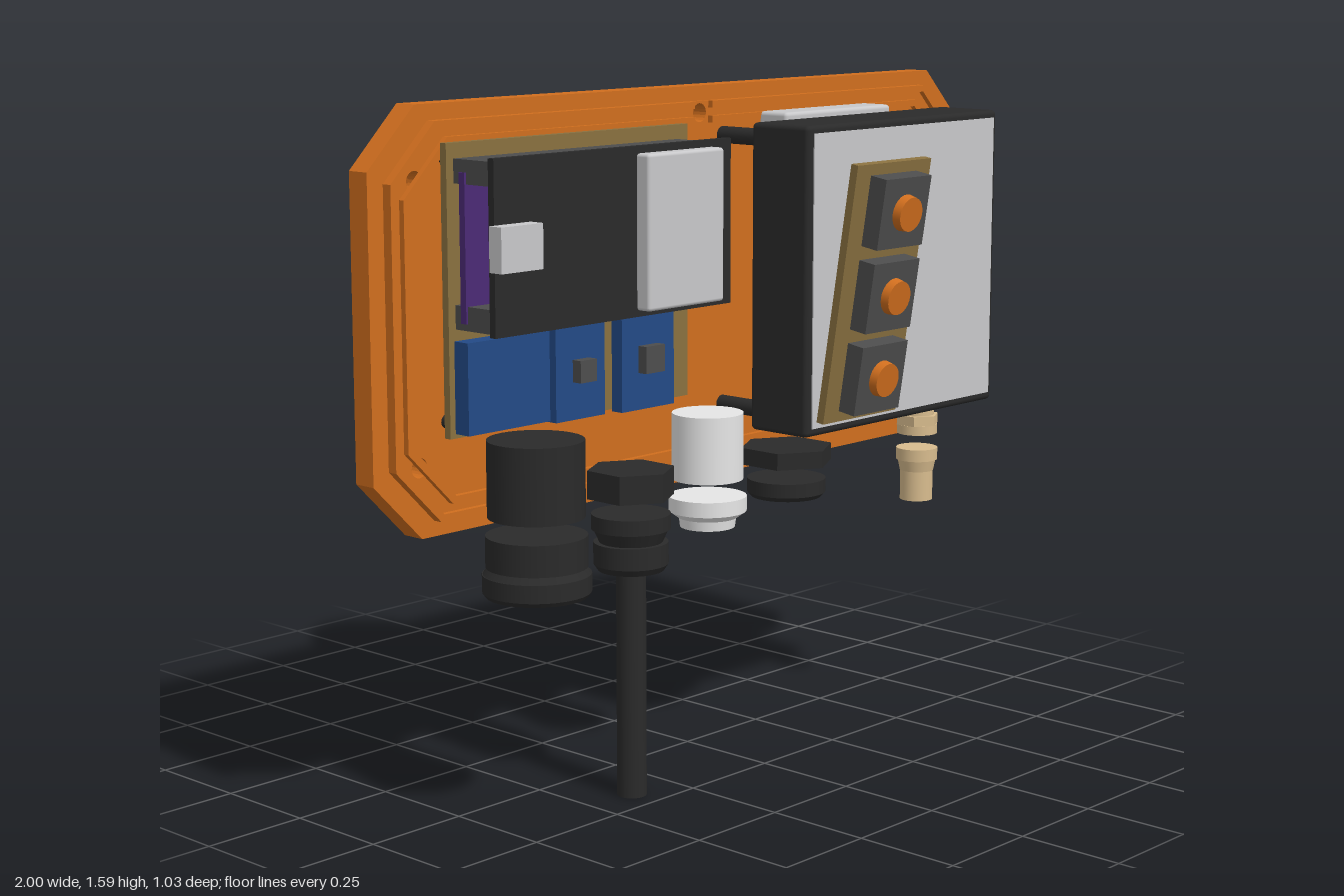
import * as THREE from 'three';
import { RoundedBoxGeometry } from 'three/addons/geometries/RoundedBoxGeometry.js';

const mat = (name, color) => {
  const m = new THREE.MeshStandardMaterial({ color });
  m.name = name;
  return m;
};

export function createModel() {
  const orange = mat('orange', 0xd06e1e), black = mat('black', 0x2a2a2a), grey = mat('dark grey', 0x4d4d4d);
  const silver = mat('silver', 0xc8c8ca), white = mat('white', 0xe6e6e6), brass = mat('brass', 0xd8bc8e);
  const olive = mat('olive board', 0x8a7140), blue = mat('blue', 0x234a86), purple = mat('purple', 0x4b2a75);

  const model = new THREE.Group();
  const CY = 1.125; // height of the panel centre
  const CZ = 0.175; // depth of the connector row

  const add = (name, geo, material, parent = model) => {
    const mesh = new THREE.Mesh(geo, material);
    mesh.name = name;
    parent.add(mesh);
    return mesh;
  };
  // Box given by its limits on each axis
  const box = (name, m, x0, x1, y0, y1, z0, z1, round = 0, parent = model) => {
    const s = [x1 - x0, y1 - y0, z1 - z0];
    const geo = round ? new RoundedBoxGeometry(...s, 2, round) : new THREE.BoxGeometry(...s);
    add(name, geo, m, parent).position.set((x0 + x1) / 2, (y0 + y1) / 2, (z0 + z1) / 2);
  };
  // Cylinder along z
  const rod = (name, m, x, y, r, z0, z1, sides = 24) => {
    const geo = new THREE.CylinderGeometry(r, r, z1 - z0, sides).rotateX(Math.PI / 2);
    const mesh = add(name, geo, m);
    mesh.position.set(x, y, (z0 + z1) / 2);
    return mesh;
  };
  // Chamfered rectangle with round holes, extruded along z
  const octagon = (name, w, h, c, holes, r, z0, z1) => {
    const shape = new THREE.Shape([[w, h - c], [w - c, h], [c - w, h], [-w, h - c],
      [-w, c - h], [c - w, -h], [w - c, -h], [w, c - h]].map(p => new THREE.Vector2(...p)));
    for (const [x, y] of holes) {
      const hole = new THREE.Path();
      hole.absarc(x, y, r, 0, Math.PI * 2, true);
      shape.holes.push(hole);
    }
    const geo = new THREE.ExtrudeGeometry(shape, { depth: z1 - z0, bevelEnabled: false, curveSegments: 10 });
    add(name, geo, orange).position.set(0, CY, z0);
  };

  // Panel: countersunk back layer, front layer, raised floor
  const screws = [[0, 0.403], [0, -0.392]];
  for (const x of [-0.88, 0.88]) for (const y of [-0.306, 0.306]) screws.push([x, y]);
  octagon('panelBack', 1, 0.465, 0.133, screws, 0.032, -0.028, -0.005);
  octagon('panelFront', 1, 0.465, 0.133, screws, 0.022, -0.005, 0.028);
  octagon('panelFloor', 0.957, 0.43, 0.125, screws, 0.022, 0.028, 0.038);

  // Sealing ridges, open around the middle screws
  for (const [w, h, t] of [[0.957, 0.43, 0.016], [0.922, 0.395, 0.016]]) {
    for (const s of [-1, 1]) {
      const path = (a, b, c) => [[0.03, b], [a - c, b], [a, b - c], [a, c - b], [a - c, -b], [0.03, -b]];
      const pts = [...path(w, h, 0.125), ...path(w - t, h - t, 0.118).reverse()];
      const shape = new THREE.Shape(pts.map(([x, y]) => new THREE.Vector2(s * x, y)));
      const geo = new THREE.ExtrudeGeometry(shape, { depth: 0.014, bevelEnabled: false });
      add('sealRidge', geo, orange).position.set(0, CY, 0.038);
    }
  }

  // Ball mount on the back
  const mountHoles = [[-0.27, -0.21], [-0.27, 0.21], [0.27, -0.21], [0.27, 0.21]];
  octagon('mountPad', 0.345, 0.295, 0.11, mountHoles, 0.02, -0.073, -0.028);
  rod('mountDisc', grey, 0, CY, 1, -0.107, -0.073, 64).scale.set(0.36, 0.293, 1);
  rod('ballNeck', grey, 0, CY, 0.092, -0.24, -0.107, 32);
  add('ball', new THREE.SphereGeometry(0.167, 40, 28), black).position.set(0, CY, -0.347);

  // Main circuit board and its stack
  box('mainBoard', olive, -0.83, -0.09, 0.88, 1.51, 0.065, 0.083);
  for (const x of [-0.8, -0.11]) for (const y of [0.91, 1.48]) rod('boardStandoff', black, x, y, 0.016, 0.038, 0.065, 12);
  box('purpleBoard', purple, -0.815, -0.1, 1.13, 1.45, 0.105, 0.122);
  for (const y of [1.115, 1.425]) box('pinHeader', grey, -0.81, -0.125, y, y + 0.052, 0.083, 0.2);
  box('controllerBoard', black, -0.82, -0.09, 1.11, 1.485, 0.2, 0.217);
  box('shieldCan', silver, -0.4, -0.155, 1.125, 1.47, 0.217, 0.258, 0.008);
  box('plugSocket', silver, -0.835, -0.715, 1.25, 1.347, 0.217, 0.254);
  box('relayModule', blue, -0.815, -0.575, 0.89, 1.09, 0.083, 0.125);
  box('sensorBoard', blue, -0.547, -0.395, 0.88, 1.1, 0.083, 0.115);
  box('sensorBoard', blue, -0.34, -0.17, 0.875, 1.11, 0.083, 0.115);
  box('chip', grey, -0.495, -0.445, 0.965, 1.015, 0.115, 0.14);
  box('chip', grey, -0.287, -0.225, 0.96, 1.022, 0.115, 0.14);

  // Display with standoffs and the silver unit behind it
  box('displayCase', black, 0.04, 0.755, 0.79, 1.51, 0.163, 0.335, 0.012);
  box('displayFace', silver, 0.06, 0.738, 0.81, 1.492, 0.332, 0.338);
  box('rearUnit', silver, 0.2, 0.592, 0.87, 1.522, 0.045, 0.132, 0.01);
  for (const x of [0.08, 0.717]) for (const y of [0.833, 1.473]) rod('displayStandoff', black, x, y, 0.02, 0.038, 0.165, 16);

  // Tilted button strip
  const strip = new THREE.Group();
  strip.name = 'buttonStrip';
  strip.position.set(0.198, 1.127, 0.404);
  strip.rotation.x = 0.157;
  model.add(strip);
  box('buttonBoard', olive, -0.133, 0.133, -0.305, 0.305, -0.01, 0.01, 0, strip);
  for (const y of [-0.197, 0, 0.197]) {
    box('buttonBase', grey, -0.082, 0.082, y - 0.082, y + 0.082, 0.01, 0.056, 0, strip);
    const cap = add('buttonCap', new THREE.CylinderGeometry(0.04, 0.043, 0.02, 24).rotateX(Math.PI / 2), orange, strip);
    cap.position.set(0, y, 0.066);
  }

  // Connectors: stacks of round or hexagonal sections [y0, y1, bottom r, top r, sides]
  const connector = (name, x, m, sections) => {
    const g = new THREE.Group();
    g.name = name;
    g.position.set(x, 0, CZ);
    model.add(g);
    for (const [y0, y1, rb, rt, sides = 32] of sections) {
      let geo = new THREE.CylinderGeometry(rt, rb, y1 - y0, sides);
      if (sides === 6) {
        geo = geo.toNonIndexed();
        geo.computeVertexNormals();
      }
      add(sides === 6 ? 'nut' : 'section', geo, m, g).position.y = (y0 + y1) / 2;
    }
  };
  connector('largeConnector', -0.668, black, [[0.7, 0.87, 0.107, 0.107], [0.59, 0.66, 0.112, 0.112],
    [0.575, 0.59, 0.118, 0.106], [0.535, 0.575, 0.12, 0.12], [0.525, 0.535, 0.113, 0.12]]);
  connector('cableGland', -0.375, black, [[0.697, 0.762, 0.101, 0.101, 6], [0.625, 0.66, 0.09, 0.09],
    [0.595, 0.625, 0.072, 0.086], [0.545, 0.595, 0.085, 0.085], [0.53, 0.545, 0.075, 0.085]]);
  connector('cable', -0.375, black, [[0, 0.54, 0.034, 0.034]]);
  connector('whiteConnector', -0.12, white, [[0.7, 0.855, 0.083, 0.083], [0.625, 0.66, 0.091, 0.091],
    [0.61, 0.625, 0.07, 0.09], [0.587, 0.61, 0.064, 0.067]]);
  connector('ventPlug', 0.158, black, [[0.697, 0.737, 0.113, 0.113, 6], [0.627, 0.66, 0.094, 0.094],
    [0.616, 0.627, 0.084, 0.094]]);
  connector('antennaSocket', 0.662, brass, [[0.745, 0.79, 0.042, 0.042], [0.72, 0.745, 0.055, 0.055, 6],
    [0.697, 0.72, 0.05, 0.05], [0.63, 0.66, 0.052, 0.052], [0.602, 0.63, 0.042, 0.048],
    [0.527, 0.602, 0.041, 0.041]]);

  return model;
}
